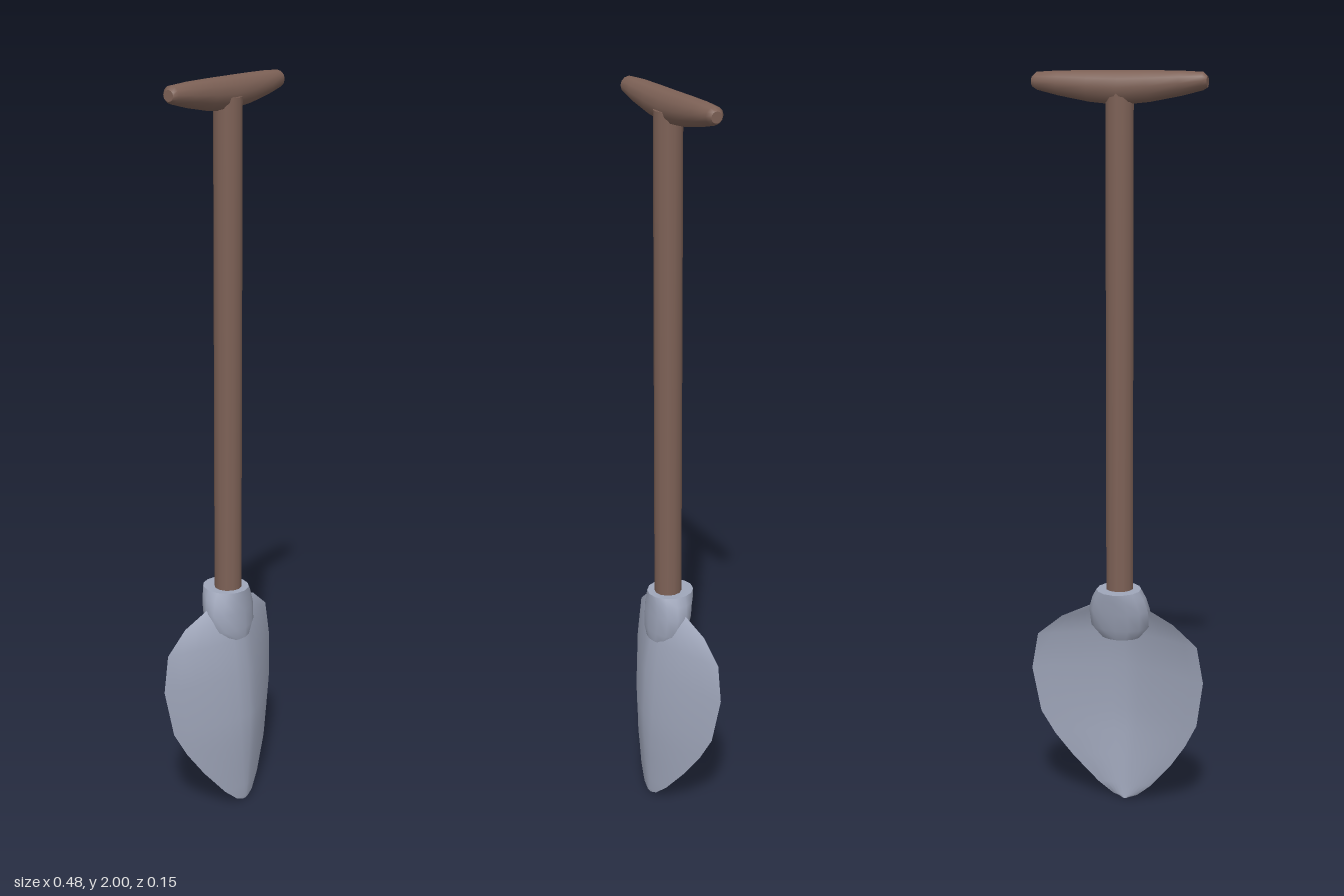
import * as THREE from 'three';

const wood = new THREE.MeshStandardMaterial({ color: 0x7d6156 });
wood.name = 'brown wood';
const steel = new THREE.MeshStandardMaterial({ color: 0x9fa6ba });
steel.name = 'blue grey steel';

function toGeometry(pos, idx) {
  const g = new THREE.BufferGeometry();
  g.setAttribute('position', new THREE.Float32BufferAttribute(pos, 3));
  g.setIndex(idx);
  g.computeVertexNormals();
  return g;
}

// Elliptical rings [y, centreX, centreZ, radiusX, radiusZ], bottom to top, with flat sharp caps
function loft(rings, sides) {
  const pos = [], idx = [];
  const addRing = ([y, cx, cz, rx, rz]) => {
    for (let j = 0; j < sides; j++) {
      const a = (j / sides) * Math.PI * 2;
      pos.push(cx + rx * Math.sin(a), y, cz + rz * Math.cos(a));
    }
  };
  rings.forEach(addRing);
  for (let i = 0; i < rings.length - 1; i++) {
    for (let j = 0; j < sides; j++) {
      const k = (j + 1) % sides, a = i * sides, b = a + sides;
      idx.push(a + j, a + k, b + j, a + k, b + k, b + j);
    }
  }
  [rings[0], rings[rings.length - 1]].forEach((r, top) => {
    const s = pos.length / 3;
    addRing(r);
    for (let j = 1; j < sides - 1; j++) {
      if (top) idx.push(s, s + j, s + j + 1);
      else idx.push(s, s + j + 1, s + j);
    }
  });
  return toGeometry(pos, idx);
}

// Blade rows: [y, half width, z of the spine, z of the edge]
const bladeRows = [
  [0.004, 0.012, 0.06, 0.058],
  [0.014, 0.035, 0.062, 0.055],
  [0.05, 0.075, 0.065, 0.044],
  [0.13, 0.14, 0.07, 0.02],
  [0.2, 0.185, 0.074, -0.003],
  [0.27, 0.22, 0.075, -0.02],
  [0.4, 0.24, 0.068, -0.035],
  [0.5, 0.222, 0.052, -0.036],
  [0.555, 0.155, 0.038, -0.03],
  [0.588, 0.08, 0.02, -0.015],
];

// One face of the curved blade; the back face sits slightly behind and meets the front at the rim
function bladeFace(back) {
  const n = 12, pos = [], idx = [];
  for (const [y, w, zc, ze] of bladeRows) {
    for (let j = 0; j <= n; j++) {
      const u = (j / n) * 2 - 1;
      const z = zc + (ze - zc) * Math.pow(Math.abs(u), 1.4);
      pos.push(u * w, y, z - (back ? 0.012 * (1 - u * u) : 0));
    }
  }
  for (let i = 0; i < bladeRows.length - 1; i++) {
    for (let j = 0; j < n; j++) {
      const a = i * (n + 1) + j, b = a + n + 1;
      if (back) idx.push(a, b, a + 1, a + 1, b, b + 1);
      else idx.push(a, a + 1, b, a + 1, b + 1, b);
    }
  }
  return toGeometry(pos, idx);
}

export function createModel() {
  const model = new THREE.Group();
  model.name = 'spade';
  const add = (geometry, material, name, parent = model) => {
    const mesh = new THREE.Mesh(geometry, material);
    mesh.name = name;
    parent.add(mesh);
    return mesh;
  };

  // Blade
  const blade = new THREE.Group();
  blade.name = 'blade';
  model.add(blade);
  add(bladeFace(false), steel, 'bladeFront', blade);
  add(bladeFace(true), steel, 'bladeBack', blade);

  // Socket gripping the foot of the shaft
  add(loft([
    [0.5, 0, 0.01, 0.055, 0.045],
    [0.53, 0, 0.004, 0.08, 0.054],
    [0.58, 0, -0.003, 0.084, 0.058],
    [0.615, 0, -0.008, 0.073, 0.062],
    [0.638, 0, -0.01, 0.06, 0.064],
  ], 14), steel, 'socket');

  // Shaft
  const shaft = add(new THREE.CylinderGeometry(0.037, 0.037, 1.4, 12), wood, 'shaft');
  shaft.position.set(0, 1.25, -0.003);

  // Cross grip: [x, bottom, top, half depth] mirrored, flat on top and bellied below
  const half = [
    [0.228, 1.958, 1.986, 0.015],
    [0.217, 1.951, 1.996, 0.024],
    [0.16, 1.937, 1.999, 0.031],
    [0.08, 1.922, 2.0, 0.034],
  ];
  const sections = [
    ...half.map(([x, ...r]) => [-x, ...r]),
    [0, 1.914, 2.0, 0.035],
    ...[...half].reverse(),
  ];
  const grip = loft(sections.map(([x, lo, hi, rz]) =>
    [x, -(lo + hi) / 2, -0.008, (hi - lo) / 2, rz]), 12);
  grip.rotateZ(-Math.PI / 2);
  add(grip, wood, 'grip');

  return model;
}
